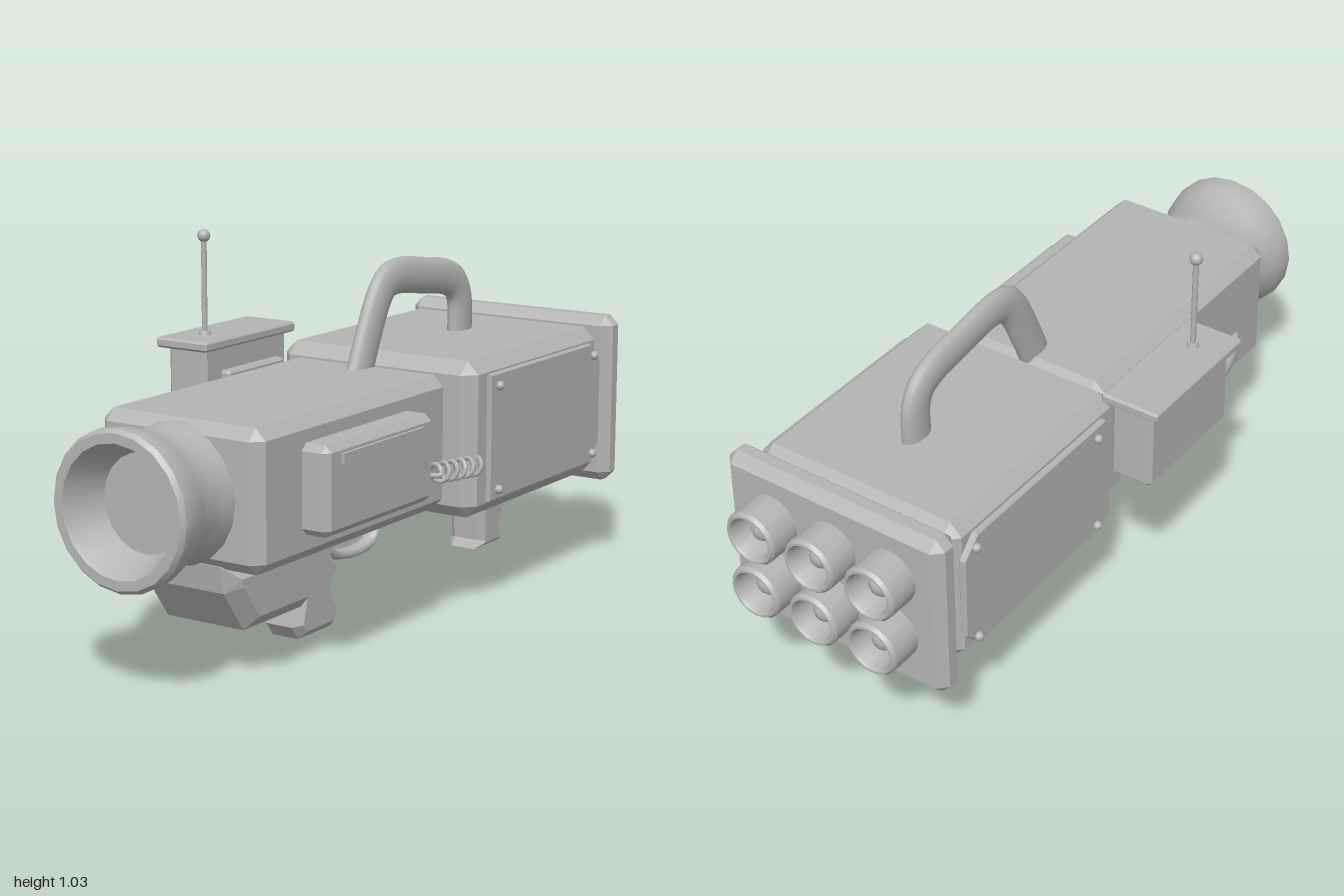
import * as THREE from 'three';
import { toCreasedNormals } from 'three/addons/utils/BufferGeometryUtils.js';
import { ConvexGeometry } from 'three/addons/geometries/ConvexGeometry.js';

const CX = 0.07; // launcher axis
const V = (x, y, z) => new THREE.Vector3(x, y, z);

// Box from min/max corners with every edge chamfered by c
function chamferBox(x0, x1, y0, y1, z0, z1, c) {
  const pts = [];
  const h = [(x1 - x0) / 2, (y1 - y0) / 2, (z1 - z0) / 2];
  for (const sx of [-1, 1]) for (const sy of [-1, 1]) for (const sz of [-1, 1])
    for (let a = 0; a < 3; a++) {
      const e = h.map((v, i) => (i === a ? v : v - c));
      pts.push(V(sx * e[0], sy * e[1], sz * e[2]));
    }
  return new ConvexGeometry(pts).translate((x0 + x1) / 2, (y0 + y1) / 2, (z0 + z1) / 2);
}

function box(x0, x1, y0, y1, z0, z1) {
  return new THREE.BoxGeometry(x1 - x0, y1 - y0, z1 - z0)
    .translate((x0 + x1) / 2, (y0 + y1) / 2, (z0 + z1) / 2);
}

// Side profile of [z, y] points, extruded across x with bevelled sides
function sideExtrude(profile, x, width, bevel) {
  const shape = new THREE.Shape(profile.map(([z, y]) => new THREE.Vector2(z, y)));
  const g = new THREE.ExtrudeGeometry(shape, {
    depth: width - 2 * bevel, bevelEnabled: bevel > 0, bevelThickness: bevel,
    bevelSize: bevel, bevelOffset: -bevel, bevelSegments: 1,
  });
  return g.translate(0, 0, bevel - width / 2).rotateY(-Math.PI / 2).translate(x, 0, 0);
}

// Lathe from [radius, height] points with sharp edges kept
function lathe(points, sides) {
  const g = new THREE.LatheGeometry(points.map(([r, y]) => new THREE.Vector2(r, y)), sides);
  return toCreasedNormals(g, 0.6);
}

function tube(points, radius, segments = 32, sides = 10) {
  const curve = new THREE.CatmullRomCurve3(points.map((p) => V(...p)), false, 'centripetal');
  return new THREE.TubeGeometry(curve, segments, radius, sides);
}

export function createModel() {
  const group = new THREE.Group();
  const grey = new THREE.MeshStandardMaterial({ color: 0xb4b4b4 });
  grey.name = 'plain grey';
  const add = (name, geometry) => {
    const mesh = new THREE.Mesh(geometry, grey);
    mesh.name = name;
    group.add(mesh);
    return mesh;
  };

  // Main housings
  add('frontBody', chamferBox(-0.175, 0.32, 0.303, 0.668, -0.092, 0.77, 0.03));
  add('rearBody', chamferBox(-0.24, 0.385, 0.27, 0.7, -0.815, -0.1, 0.035));
  add('bodyNeck', box(-0.14, 0.285, 0.335, 0.635, -0.13, -0.06));
  add('rearNeck', box(-0.2, 0.345, 0.31, 0.66, -0.85, -0.78));
  add('rearPlate', chamferBox(-0.265, 0.41, 0.238, 0.725, -0.905, -0.82, 0.027));

  // Flared muzzle with a recessed funnel
  add('muzzle', lathe([
    [0.18, 0.75], [0.18, 0.78], [0.174, 0.8], [0.174, 0.86], [0.184, 0.9], [0.198, 0.935],
    [0.203, 0.97], [0.203, 0.988], [0.193, 1], [0.168, 1], [0.162, 0.99],
    [0.127, 0.89], [0, 0.89],
  ], 20).rotateX(Math.PI / 2).translate(CX, 0.482, 0));

  // Six launch tubes, each with a rounded tip inside
  for (const x of [-0.115, CX, 0.255]) for (const y of [0.4, 0.575]) {
    add('launchTube', lathe([
      [0.077, 0.89], [0.077, 0.99], [0.07, 1], [0.064, 1], [0.058, 0.99], [0.052, 0.925], [0, 0.925],
    ], 20).rotateX(-Math.PI / 2).translate(x, y, 0));
    add('rocketTip', new THREE.SphereGeometry(0.036, 16, 10).translate(x, y, -0.935));
  }

  // Carry handle, oval in section
  add('carryHandle', tube([
    [0, 0.65, -0.03], [0, 0.75, -0.075], [0, 0.845, -0.125], [0, 0.885, -0.165], [0, 0.895, -0.22],
    [0, 0.878, -0.36], [0, 0.86, -0.47], [0, 0.835, -0.52], [0, 0.79, -0.545], [0, 0.65, -0.547],
  ], 0.051, 48, 16).scale(0.53, 1, 1).translate(0.073, 0, 0));

  // Pod under the muzzle
  add('lowerPod', sideExtrude([
    [0.753, 0.31], [0.742, 0.24], [0.662, 0.128], [0.415, 0.128], [0.34, 0.195], [0.322, 0.31],
  ], 0.073, 0.31, 0.037));

  // Pistol grip, trigger and guard
  add('frontGripMount', box(-0.01, 0.155, 0.272, 0.31, 0.09, 0.32));
  add('frontGrip', sideExtrude([
    [0.28, 0.29], [0.345, 0.04], [0.316, 0.002], [0.17, 0.002], [0.14, 0.045],
    [0.178, 0.115], [0.142, 0.17], [0.173, 0.205], [0.11, 0.276], [0.11, 0.29],
  ], 0.073, 0.125, 0.022));
  add('trigger', sideExtrude([
    [0.035, 0.31], [0.02, 0.27], [0.03, 0.215], [0.01, 0.215], [-0.008, 0.25], [-0.01, 0.31],
  ], 0.073, 0.035, 0.004));
  add('triggerGuard', tube([
    [0, 0.225, 0.16], [0, 0.185, 0.11], [0, 0.168, 0.05], [0, 0.165, -0.02],
    [0, 0.178, -0.08], [0, 0.215, -0.104], [0, 0.3, -0.1],
  ], 0.015, 32, 8).scale(1.6, 1, 1).translate(0.073, 0, 0));

  // Rear grip
  add('rearGripMount', chamferBox(-0.01, 0.155, 0.243, 0.28, -0.75, -0.565, 0.008));
  add('rearGrip', sideExtrude([
    [-0.585, 0.255], [-0.595, 0.07], [-0.58, 0.045], [-0.722, 0.045], [-0.705, 0.09],
    [-0.732, 0.155], [-0.705, 0.195], [-0.732, 0.235], [-0.732, 0.255],
  ], 0.073, 0.115, 0.02));

  // Riveted panels on both sides of the rear body
  const panel = [
    [-0.18, 0.31], [-0.18, 0.66], [-0.74, 0.66], [-0.795, 0.605], [-0.795, 0.365], [-0.74, 0.31],
  ];
  for (const s of [-1, 1]) {
    add('sidePanel', sideExtrude(panel, CX + s * 0.318, 0.02, 0.004));
    for (const z of [-0.22, -0.75]) for (const y of [0.338, 0.625])
      add('rivet', new THREE.SphereGeometry(0.013, 10, 8).translate(CX + s * 0.332, y, z));
  }

  // Control pad on the left side with its raised bar
  add('sidePad', chamferBox(0.3, 0.395, 0.373, 0.605, 0.1, 0.59, 0.018));
  add('padBar', box(0.385, 0.404, 0.553, 0.58, 0.16, 0.53));

  // Coiled cable between pad and rear body
  const coil = [[0.36, 0.44, 0.12]];
  for (let i = 0; i <= 60; i++) {
    const t = i / 60, a = t * Math.PI * 2 * 5.5;
    coil.push([0.378 + 0.022 * Math.cos(a), 0.437 - 0.02 * t + 0.024 * Math.sin(a), 0.075 - 0.225 * t]);
  }
  coil.push([0.385, 0.41, -0.19]);
  add('coiledCable', tube(coil, 0.007, 180, 6));

  // Radio box with lid on the right side
  add('radioBox', chamferBox(-0.387, -0.262, 0.48, 0.725, -0.165, 0.215, 0.012));
  add('radioLid', chamferBox(-0.415, -0.245, 0.714, 0.742, -0.185, 0.232, 0.006));
  add('radioBracket', chamferBox(-0.27, -0.236, 0.52, 0.652, -0.12, 0.14, 0.008));

  // Antenna
  add('antennaBase', new THREE.CylinderGeometry(0.014, 0.018, 0.014, 12).translate(-0.325, 0.747, 0.13));
  add('antennaRod', new THREE.CylinderGeometry(0.008, 0.008, 0.27, 10).translate(-0.325, 0.875, 0.13));
  add('antennaTip', new THREE.SphereGeometry(0.018, 12, 10).translate(-0.325, 1.014, 0.13));

  // Hose from radio box to front body
  add('hose', tube([
    [-0.295, 0.505, 0.19], [-0.278, 0.49, 0.26], [-0.25, 0.445, 0.38],
    [-0.222, 0.422, 0.48], [-0.195, 0.417, 0.56], [-0.165, 0.435, 0.62],
  ], 0.017));

  return group;
}
